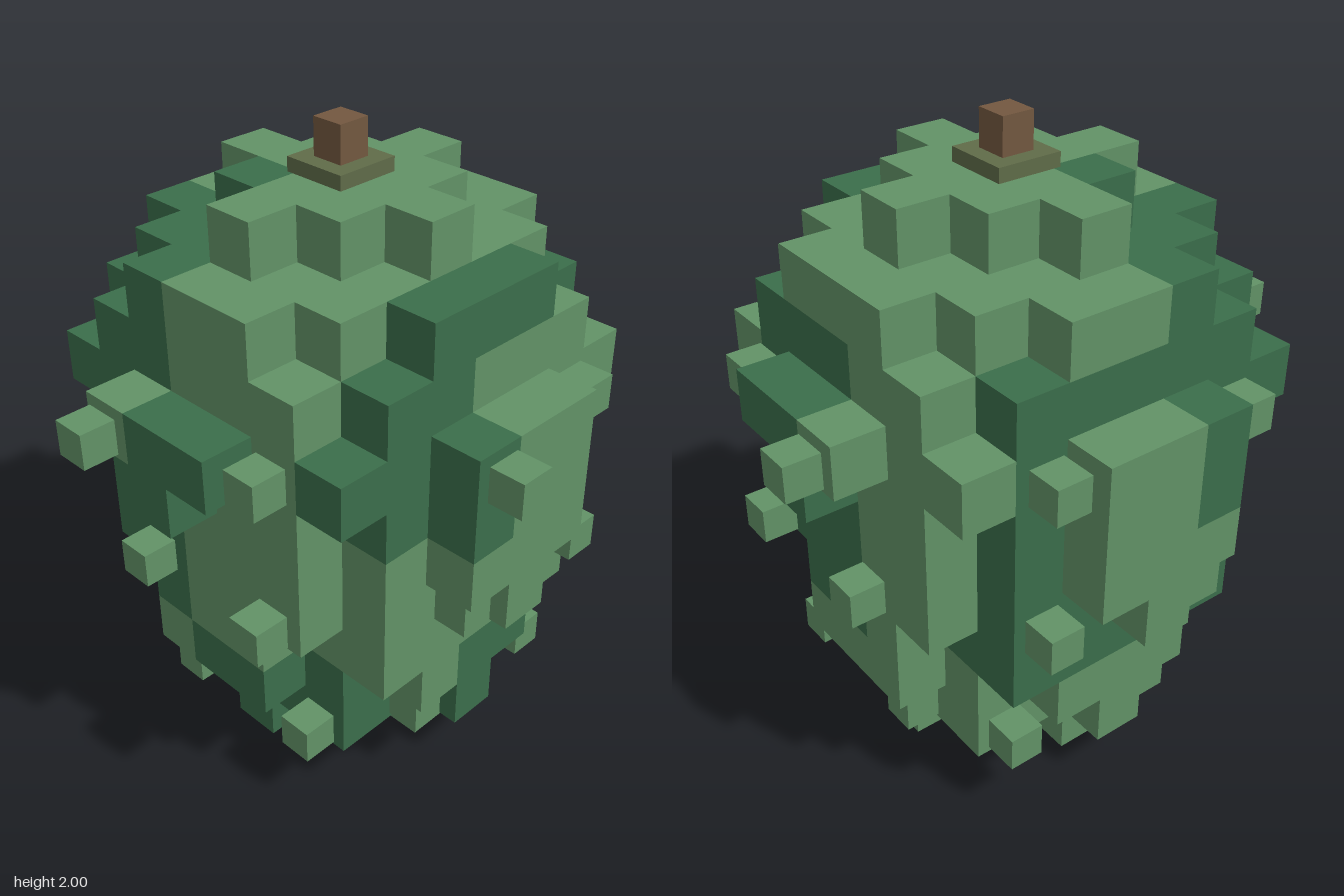
import * as THREE from 'three';
import { mergeGeometries } from 'three/addons/utils/BufferGeometryUtils.js';

const S = 0.1673;      // voxel size
const CX = -0.064;     // axis of the fruit in x

// Size limit of each layer, from the bottom up: 0.9 i^2 + k^2 <= limit
const LIMITS = [4.1, 8.5, 10.1, 12.3, 15, 15.7, 16.5, 17.5, 13, 10, 4.1];

// Dark patches are 3x3x3 blocks, listed per block row as 'column,depth'
const DARK = [
  ['0,0', '1,-1'],
  ['-1,0', '-1,-1', '0,-2'],
  ['-2,0', '-1,0', '-1,-1', '0,1', '0,-2', '1,0'],
  ['-1,0', '1,-1', '1,0'],
];

const filled = (i, j, k) =>
  j >= 0 && j < LIMITS.length && 0.9 * i * i + k * k <= LIMITS[j];
const isDark = (i, j, k) =>
  DARK[Math.floor(j / 3)].includes(`${Math.floor(i / 3)},${Math.floor((k - 1) / 3)}`);

// One square face per direction, already offset from the voxel centre
function makeFaces() {
  const dirs = [[1, 0, 0], [-1, 0, 0], [0, 1, 0], [0, -1, 0], [0, 0, 1], [0, 0, -1]];
  return dirs.map((d) => {
    const n = new THREE.Vector3(...d);
    const q = new THREE.Quaternion().setFromUnitVectors(new THREE.Vector3(0, 0, 1), n);
    const geo = new THREE.PlaneGeometry(S, S).translate(0, 0, S / 2).applyQuaternion(q);
    return { d, geo };
  });
}

export function createModel() {
  const group = new THREE.Group();
  const material = (name, color) => {
    const m = new THREE.MeshStandardMaterial({ color });
    m.name = name;
    return m;
  };
  const light = material('light green', 0x629367);
  const dark = material('dark green', 0x3b6e4b);
  const olive = material('olive', 0x606c49);
  const brown = material('brown', 0x735840);

  const add = (name, geo, mat, x = 0, y = 0, z = 0, parent = group) => {
    const mesh = new THREE.Mesh(geo, mat);
    mesh.name = name;
    mesh.position.set(x, y, z);
    parent.add(mesh);
  };

  // Stepped body: only the exposed voxel faces, sorted by colour
  const faces = makeFaces();
  const lightFaces = [], darkFaces = [];
  for (let j = 0; j < LIMITS.length; j++)
    for (let i = -4; i <= 4; i++)
      for (let k = -4; k <= 4; k++) {
        if (!filled(i, j, k)) continue;
        const list = isDark(i, j, k) ? darkFaces : lightFaces;
        for (const { d, geo } of faces)
          if (!filled(i + d[0], j + d[1], k + d[2]))
            list.push(geo.clone().translate(CX + i * S, (j + 0.5) * S, k * S));
      }
  add('lightRind', mergeGeometries(lightFaces), light);
  add('darkRind', mergeGeometries(darkFaces), dark);

  // Three rings of small bumps around the body: height, then x and z pairs
  const bumps = new THREE.Group();
  bumps.name = 'bumps';
  group.add(bumps);
  const rings = [
    [0.255, [[0.42, 0.165], [0.27, 0.49], [-0.23, 0.49], [-0.55, 0.165],
      [-0.55, -0.33], [-0.23, -0.485], [0.27, -0.485], [0.42, -0.33]]],
    [0.755, [[0.59, 0.165], [0.265, 0.66], [-0.23, 0.66], [-0.735, 0.165],
      [-0.715, -0.33], [-0.23, -0.655], [0.27, -0.655], [0.59, -0.33]]],
    [1.255, [[0.755, 0.165], [0.275, 0.655], [-0.23, 0.82], [-0.73, 0.32],
      [-0.725, -0.335], [-0.23, -0.82], [0.27, -0.66], [0.59, -0.335]]],
  ];
  const bump = new THREE.BoxGeometry(0.113, 0.113, 0.113);
  for (const [y, spots] of rings)
    for (const [x, z] of spots) add('bump', bump, light, x, y, z, bumps);

  // Stem on its square base
  add('stemBase', new THREE.BoxGeometry(0.212, 0.045, 0.212), olive, CX, 1.8625, 0);
  add('stem', new THREE.BoxGeometry(0.106, 0.115, 0.106), brown, CX, 1.9425, 0);

  return group;
}
